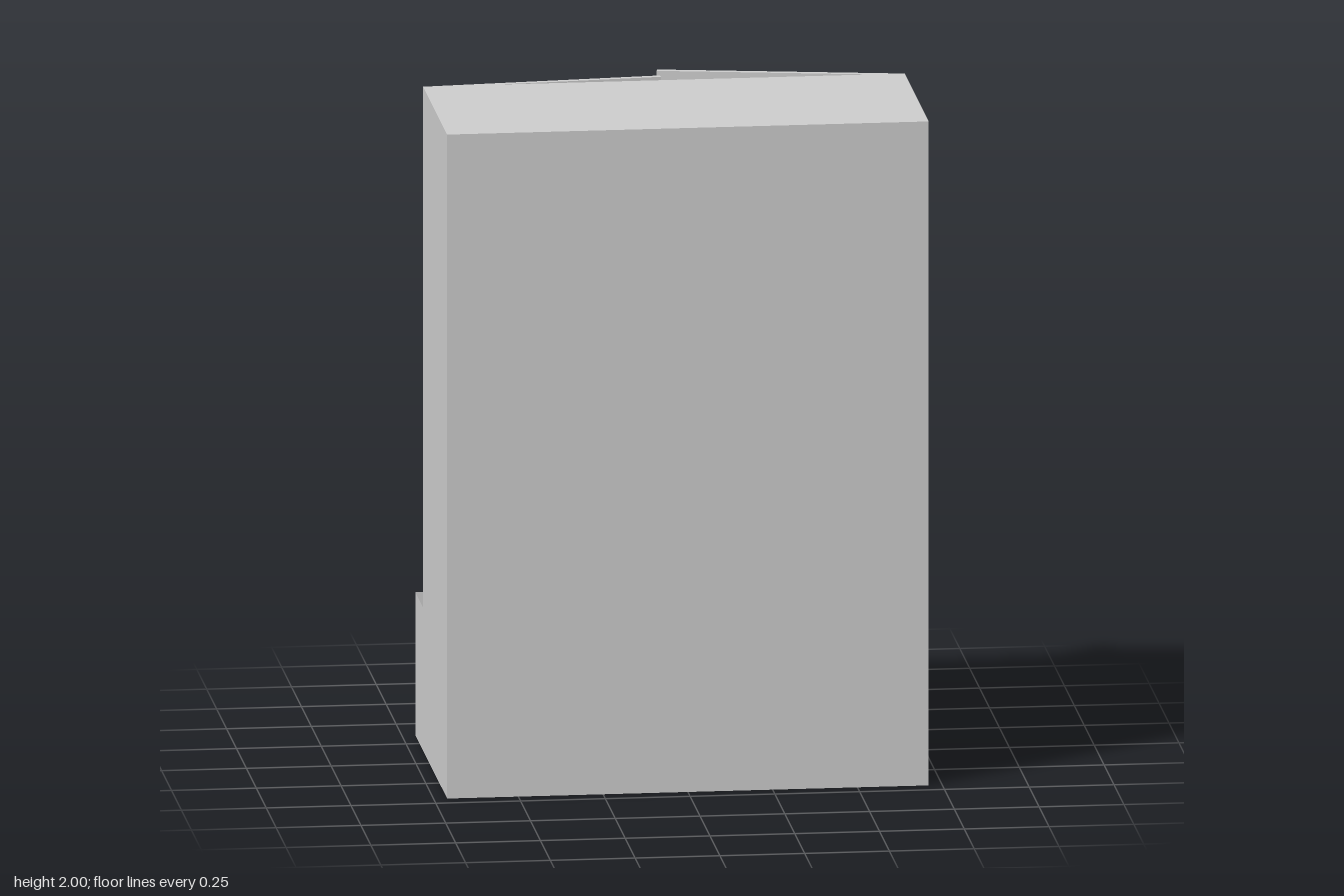
import * as THREE from 'three';

const W = 0.71;        // half width
const BACK = 0.445;    // back panel z
const OPENING = -0.16; // cupboard front edge z
const FRONT = -0.358;  // drawer front z
const LEDGE = 0.43;    // drawer height
const H = 2;

const material = new THREE.MeshStandardMaterial({ color: 0xcccccc });
const thin = new THREE.MeshStandardMaterial({ color: 0xcccccc, side: THREE.DoubleSide });

function add(parent, name, geometry, mat = material) {
  const mesh = new THREE.Mesh(geometry, mat);
  mesh.name = name;
  parent.add(mesh);
  return mesh;
}

// Round knob on a flared stem, standing on z = 0 and pointing to -z
function makeKnob(name) {
  const knob = new THREE.Group();
  knob.name = name;
  add(knob, 'knobBall', new THREE.SphereGeometry(0.033, 32, 20)).position.z = -0.054;
  const profile = [[0.02, 0], [0.015, 0.012], [0.014, 0.035]].map(([r, y]) => new THREE.Vector2(r, y));
  add(knob, 'knobStem', new THREE.LatheGeometry(profile, 24), thin).rotation.x = -Math.PI / 2;
  return knob;
}

// Door hung on the outer edge; side is +1 or -1
function makeDoor(name, side, angle, length, knobAt) {
  const bottom = 0.445, thickness = 0.018;
  const door = new THREE.Group();
  door.name = name;
  const panel = add(door, 'doorPanel', new THREE.BoxGeometry(length, H - bottom, thickness));
  panel.position.set(-side * length / 2, (H + bottom) / 2, thickness / 2);
  const knob = makeKnob('doorKnob');
  knob.position.set(-side * knobAt, 1.1, 0);
  door.add(knob);
  door.position.set(side * W, 0, OPENING);
  door.rotation.y = -side * angle;
  return door;
}

export function createModel() {
  const wardrobe = new THREE.Group();
  wardrobe.name = 'wardrobe';

  // Stepped side panels (profile drawn in -z, y)
  const outline = new THREE.Shape([
    [-BACK, 0], [-FRONT, 0], [-FRONT, LEDGE], [-OPENING, LEDGE], [-OPENING, H], [-BACK, H],
  ].map(([x, y]) => new THREE.Vector2(x, y)));
  for (const side of [1, -1]) {
    const panel = add(wardrobe, side > 0 ? 'leftSide' : 'rightSide', new THREE.ShapeGeometry(outline), thin);
    panel.rotation.y = Math.PI / 2;
    panel.position.x = side * W;
  }

  // Back, top, floor and drawer front of the hollow case
  add(wardrobe, 'backPanel', new THREE.PlaneGeometry(2 * W, H), thin).position.set(0, H / 2, BACK);
  const top = add(wardrobe, 'topPanel', new THREE.PlaneGeometry(2 * W, BACK - OPENING), thin);
  top.rotation.x = -Math.PI / 2;
  top.position.set(0, H, (BACK + OPENING) / 2);
  const floor = add(wardrobe, 'floorPanel', new THREE.PlaneGeometry(2 * W, BACK - FRONT), thin);
  floor.rotation.x = Math.PI / 2;
  floor.position.set(0, 0, (BACK + FRONT) / 2);
  const drawer = add(wardrobe, 'drawerFront', new THREE.PlaneGeometry(2 * W, LEDGE), thin);
  drawer.rotation.y = Math.PI;
  drawer.position.set(0, LEDGE / 2, FRONT);

  // Drawer knobs
  for (const side of [1, -1]) {
    const knob = makeKnob('drawerKnob');
    knob.position.set(side * 0.36, 0.213, FRONT);
    wardrobe.add(knob);
  }

  // Two doors standing ajar
  wardrobe.add(makeDoor('leftDoor', 1, 0.187, 0.727, 0.648));
  wardrobe.add(makeDoor('rightDoor', -1, 0.085, 0.707, 0.622));
  return wardrobe;
}
